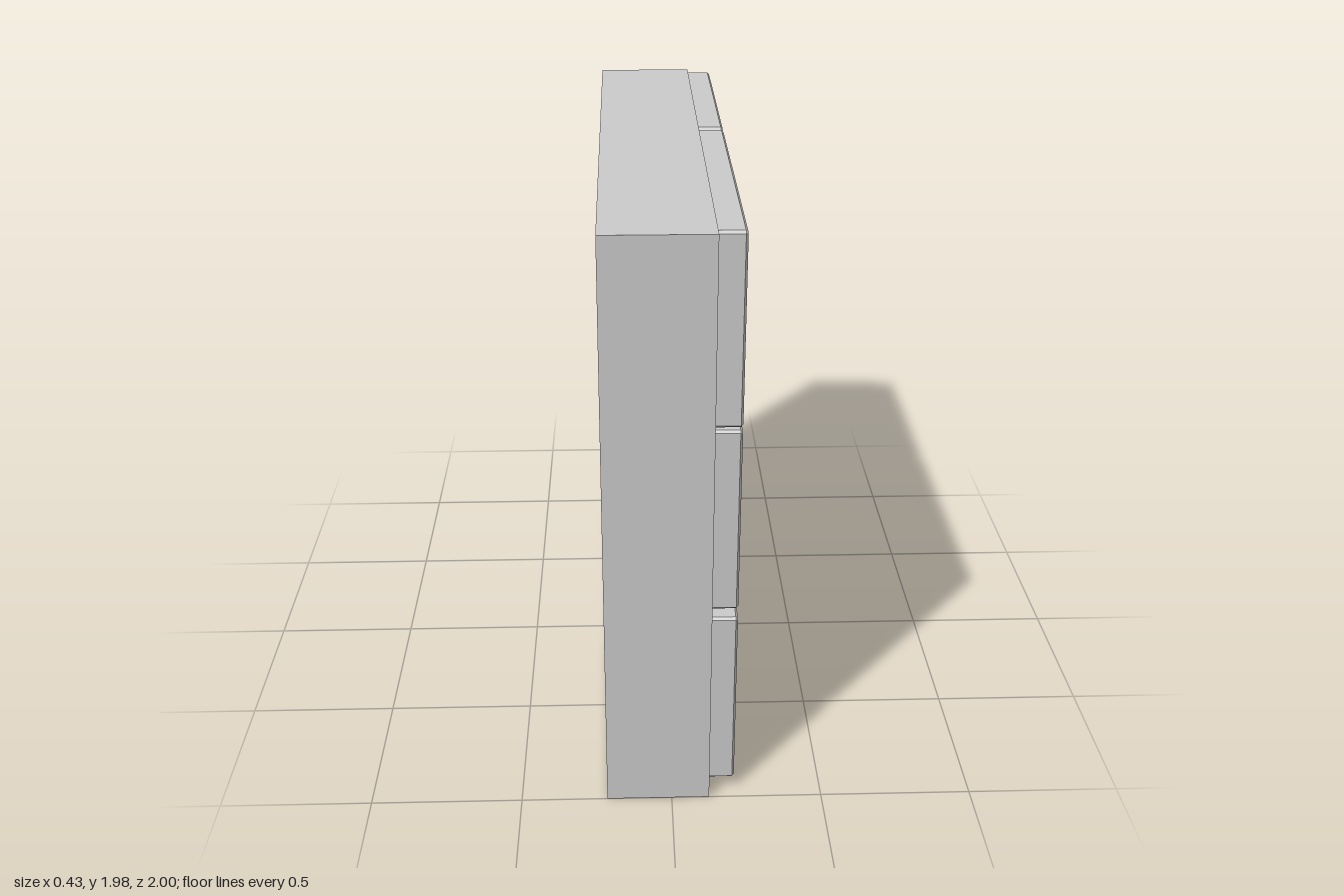
import * as THREE from 'three';

const material = new THREE.MeshStandardMaterial({ color: 0xcccccc, flatShading: true });
const BEVEL = 0.007, WALL_FACE = 0.125, STONE_FACE = 0.21, SUNK = 0.02;

// Rows of facing stones: [bottom, top, [z start, z end]...]
const ROWS = [
  [0.045, 0.688, [0.96, 0.333], [0.293, -0.355], [-0.386, -0.993]],
  [0.718, 1.351, [0.956, 0.493], [0.474, -0.423], [-0.446, -0.986]],
  [1.362, 1.975, [0.96, -0.106], [-0.129, -0.977]],
];

// Chipped lower edge: [z, rise at the back, extra rise at the face]
const CHIP = [[-0.64, 0, 0], [-0.69, 0.004, 0.01], [-0.75, 0.016, 0.013], [-0.8, 0.007, 0.012], [-0.87, 0, 0]];

// Bevelled slab standing out from the wall along +x
function stone(z0, z1, y0, y1, chip = []) {
  const b = BEVEL, c = 0.004;
  const l = -z0 + b, r = -z1 - b, d = y0 + b, u = y1 - b;
  const points = [
    [l + c, d], ...chip.map(([z, rise]) => [-z, d + rise]), [r - c, d], [r, d + c],
    [r, u - c], [r - c, u], [l + c, u], [l, u - c], [l, d + c],
  ];
  const shape = new THREE.Shape(points.map(([x, y]) => new THREE.Vector2(x, y)));
  const depth = STONE_FACE - WALL_FACE + SUNK - 2 * b;
  const geometry = new THREE.ExtrudeGeometry(shape, {
    depth, bevelEnabled: true, bevelThickness: b, bevelSize: b, bevelSegments: 1,
  });
  // Slope the chip so it cuts deeper at the face
  const pos = geometry.attributes.position;
  for (let i = 0; i < pos.count; i++) {
    if (pos.getY(i) > y0 + 0.05 || pos.getZ(i) < depth / 2) continue;
    const hit = chip.find(([z]) => Math.abs(pos.getX(i) + z) < 0.012);
    if (hit) pos.setY(i, pos.getY(i) + hit[2]);
  }
  geometry.rotateY(Math.PI / 2);
  geometry.translate(WALL_FACE - SUNK + b, 0, 0);
  geometry.computeVertexNormals();
  return new THREE.Mesh(geometry, material);
}

export function createModel() {
  const group = new THREE.Group();
  group.name = 'stoneWall';

  // Plain backing block
  const backing = new THREE.Mesh(new THREE.BoxGeometry(0.34, 1.98, 2), material);
  backing.name = 'backingWall';
  backing.position.set(-0.045, 0.99, 0);
  group.add(backing);

  // Facing stones, the last one of the bottom row chipped
  ROWS.forEach(([y0, y1, ...spans], row) => {
    spans.forEach(([z0, z1], i) => {
      const chipped = row === 0 && i === spans.length - 1;
      const mesh = stone(z0, z1, y0, y1, chipped ? CHIP : []);
      mesh.name = chipped ? 'chippedStone' : `stoneRow${row + 1}Number${i + 1}`;
      group.add(mesh);
    });
  });
  return group;
}
